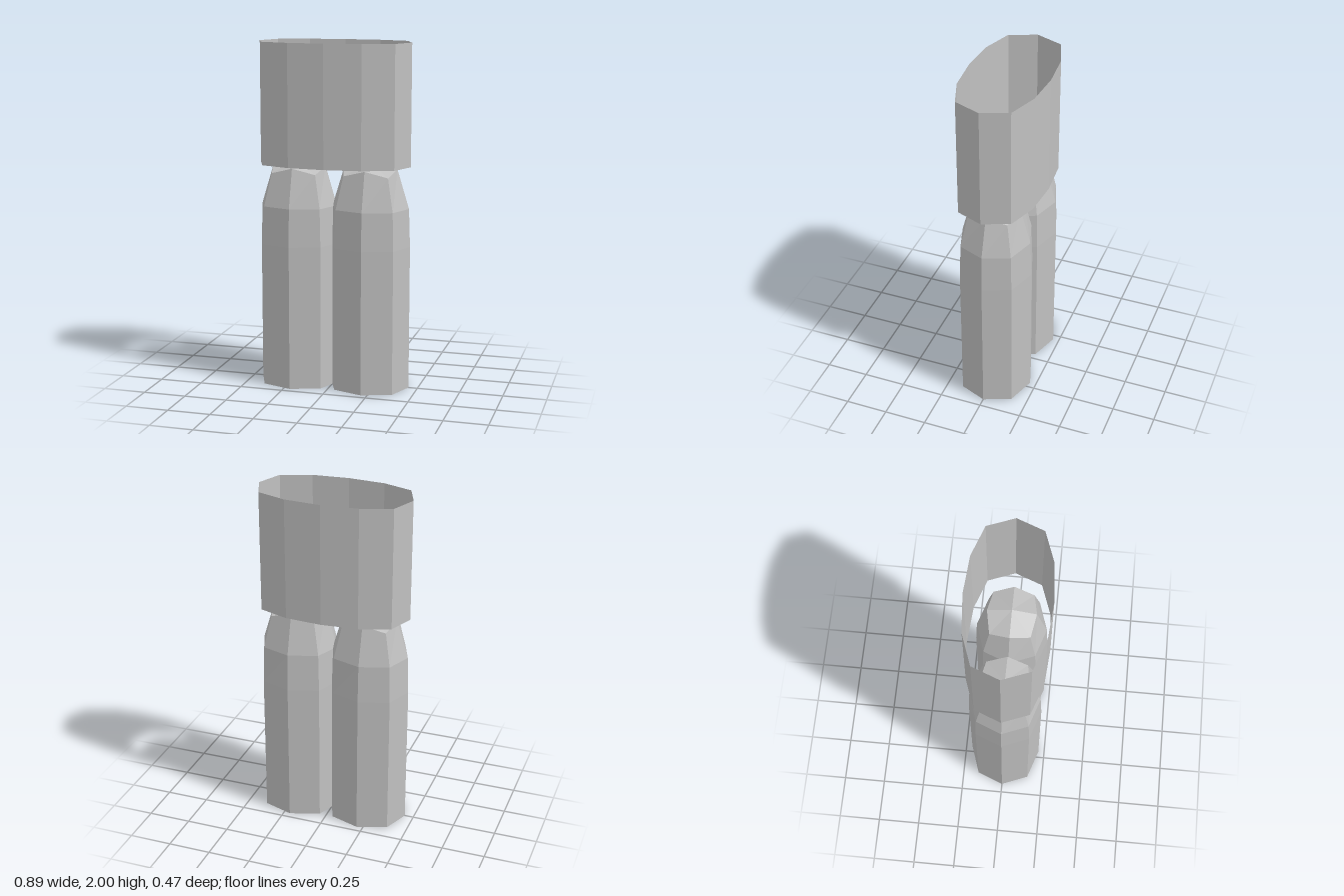
import * as THREE from 'three';

// Joins rings of [x, y, z] points with walls; an optional apex closes the last ring.
function loft(rings, apex) {
  const n = rings[0].length;
  const index = [];
  for (let r = 0; r < rings.length - 1; r++) {
    for (let i = 0; i < n; i++) {
      const a = r * n + i, b = r * n + (i + 1) % n;
      index.push(a, b, b + n, a, b + n, a + n);
    }
  }
  const points = rings.flat();
  if (apex) {
    const top = (rings.length - 1) * n;
    for (let i = 0; i < n; i++) index.push(top + i, top + (i + 1) % n, points.length);
    points.push(apex);
  }
  const geometry = new THREE.BufferGeometry();
  geometry.setAttribute('position', new THREE.Float32BufferAttribute(points.flat(), 3));
  geometry.setIndex(index);
  const flat = geometry.toNonIndexed();
  flat.computeVertexNormals();
  return flat;
}

// Eight-sided ring; corners sit at (dx, dz) and may drop lower than the axis points.
function legRing(y, rx, rz, dx, dz, cornerY = y) {
  return [
    [rx, y, 0], [dx, cornerY, -dz], [0, y, -rz], [-dx, cornerY, -dz],
    [-rx, y, 0], [-dx, cornerY, dz], [0, y, rz], [dx, cornerY, dz],
  ];
}

// Twelve-sided oval ring around both legs.
function sleeveRing(y) {
  const back = [[0.447, 0], [0.387, -0.155], [0.213, -0.217], [0, -0.234], [-0.213, -0.217], [-0.387, -0.155]];
  return [...back, ...back.map(([x, z]) => [-x, -z])].map(([x, z]) => [x, y, z]);
}

export function createModel() {
  const model = new THREE.Group();
  const grey = new THREE.MeshStandardMaterial({ color: 0xc0c0c0, flatShading: true, side: THREE.DoubleSide });
  grey.name = 'plain grey';

  // Legs: open at the bottom, tapered to a shallow faceted cap
  const legGeometry = loft([
    legRing(0, 0.234, 0.213, 0.172, 0.156),
    legRing(0.84, 0.234, 0.213, 0.172, 0.156),
    legRing(1.06, 0.226, 0.204, 0.166, 0.15),
    legRing(1.285, 0.157, 0.142, 0.13, 0.117, 1.25),
  ], [0, 1.32, 0]);
  for (const [name, side] of [['leftLeg', 1], ['rightLeg', -1]]) {
    const leg = new THREE.Mesh(legGeometry, grey);
    leg.name = name;
    leg.position.x = side * 0.213;
    model.add(leg);
  }

  // Waist sleeve: open at both ends
  const sleeve = new THREE.Mesh(loft([sleeveRing(1.3), sleeveRing(2)]), grey);
  sleeve.name = 'waistSleeve';
  model.add(sleeve);

  return model;
}
